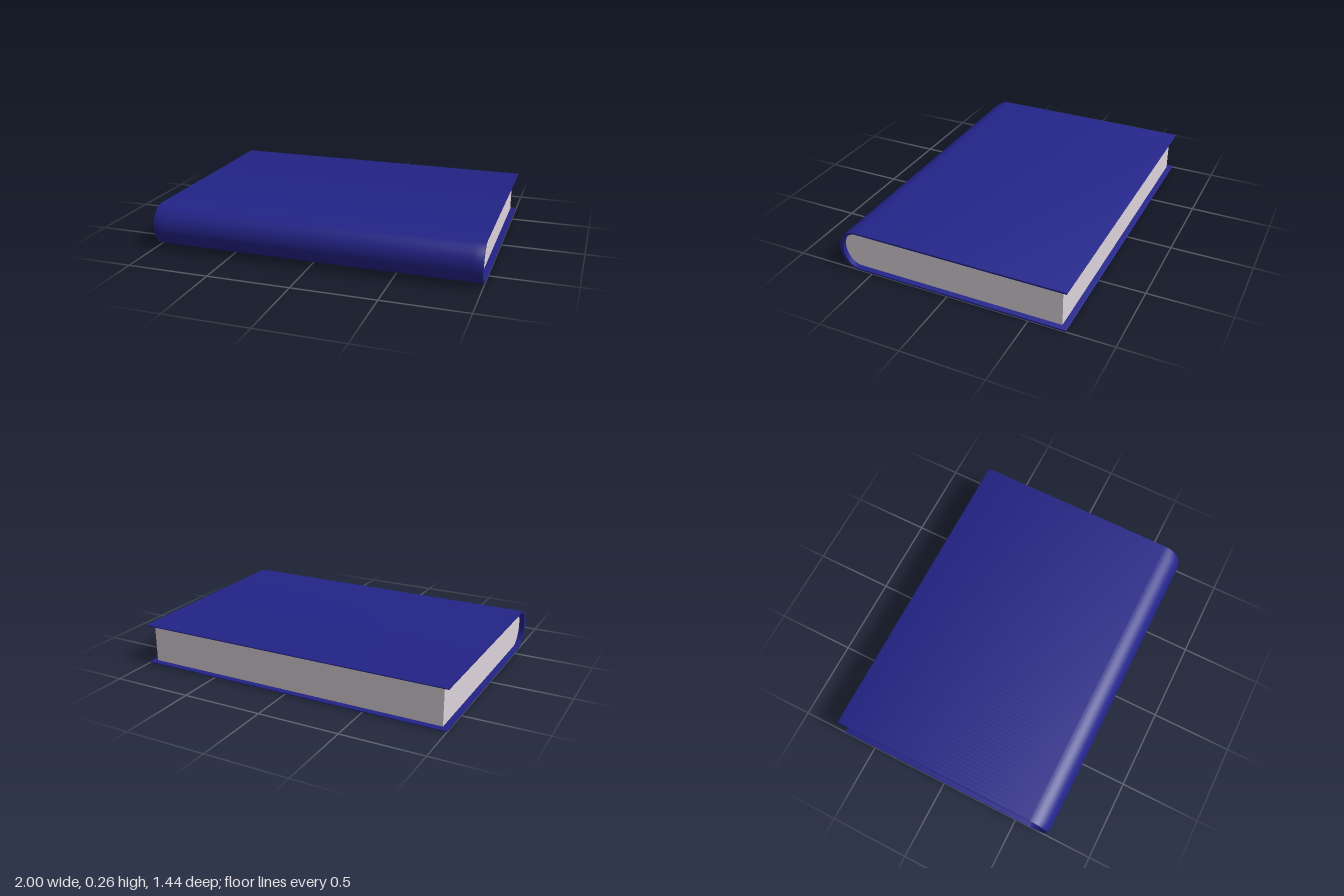
import * as THREE from 'three';
import { toCreasedNormals } from 'three/addons/utils/BufferGeometryUtils.js';

const HEIGHT = 0.256, MID = HEIGHT / 2, BOARD = 0.01;
const SPINE_Z = 0.59, SPINE_R = 0.13, SPINE_THICK = 0.025;
const COVER_BACK = -0.72, PAGE_BACK = -0.685;

// Extrude a side profile (drawn in -z, y) along x, centred on x = 0
function extrudeAlongX(shape, length, steps) {
  const g = new THREE.ExtrudeGeometry(shape, { depth: length, steps, bevelEnabled: false, curveSegments: 32 });
  g.translate(0, 0, -length / 2);
  g.rotateY(Math.PI / 2);
  return g;
}

// Ease the spine inward near both of its ends
function softenSpineEnds(g) {
  const p = g.attributes.position;
  for (let i = 0; i < p.count; i++) {
    const t = Math.max(0, (Math.abs(p.getX(i)) - 0.95) / 0.05);
    const s = Math.max(0, (p.getZ(i) - SPINE_Z) / SPINE_R);
    p.setZ(i, p.getZ(i) - 0.01 * t * t * s);
  }
}

export function createModel() {
  const book = new THREE.Group();
  book.name = 'book';
  const blue = new THREE.MeshStandardMaterial({ color: 0x232388 });
  blue.name = 'coverBlue';
  const paper = new THREE.MeshStandardMaterial({ color: 0xdcd3da });
  paper.name = 'paper';

  // Cover: two thin boards joined by a thicker rounded spine
  const c = new THREE.Shape();
  const r = BOARD / 2;
  c.moveTo(-COVER_BACK - r, HEIGHT);
  c.lineTo(-SPINE_Z, HEIGHT);
  c.absellipse(-SPINE_Z, MID, SPINE_R, MID, Math.PI / 2, Math.PI * 1.5, false);
  c.lineTo(-COVER_BACK - r, 0);
  c.absarc(-COVER_BACK - r, r, r, -Math.PI / 2, Math.PI / 2, false);
  c.lineTo(-SPINE_Z, BOARD);
  c.absellipse(-SPINE_Z, MID, SPINE_R - SPINE_THICK, MID - BOARD, Math.PI * 1.5, Math.PI / 2, true);
  c.lineTo(-COVER_BACK - r, HEIGHT - BOARD);
  c.absarc(-COVER_BACK - r, HEIGHT - r, r, -Math.PI / 2, Math.PI / 2, false);
  const coverGeo = extrudeAlongX(c, 2, 80);
  softenSpineEnds(coverGeo);
  const cover = new THREE.Mesh(toCreasedNormals(coverGeo, 0.6), blue);
  cover.name = 'cover';

  // Page block: rounded toward the spine, set in from the cover edges
  const p = new THREE.Shape();
  const top = HEIGHT - BOARD;
  p.moveTo(-PAGE_BACK, top);
  p.lineTo(-SPINE_Z, top);
  p.absellipse(-SPINE_Z, MID, SPINE_R - SPINE_THICK, MID - BOARD, Math.PI / 2, Math.PI * 1.5, false);
  p.lineTo(-PAGE_BACK, BOARD);
  p.closePath();
  const pages = new THREE.Mesh(toCreasedNormals(extrudeAlongX(p, 1.93, 1), 0.6), paper);
  pages.name = 'pages';

  book.add(cover, pages);
  return book;
}
